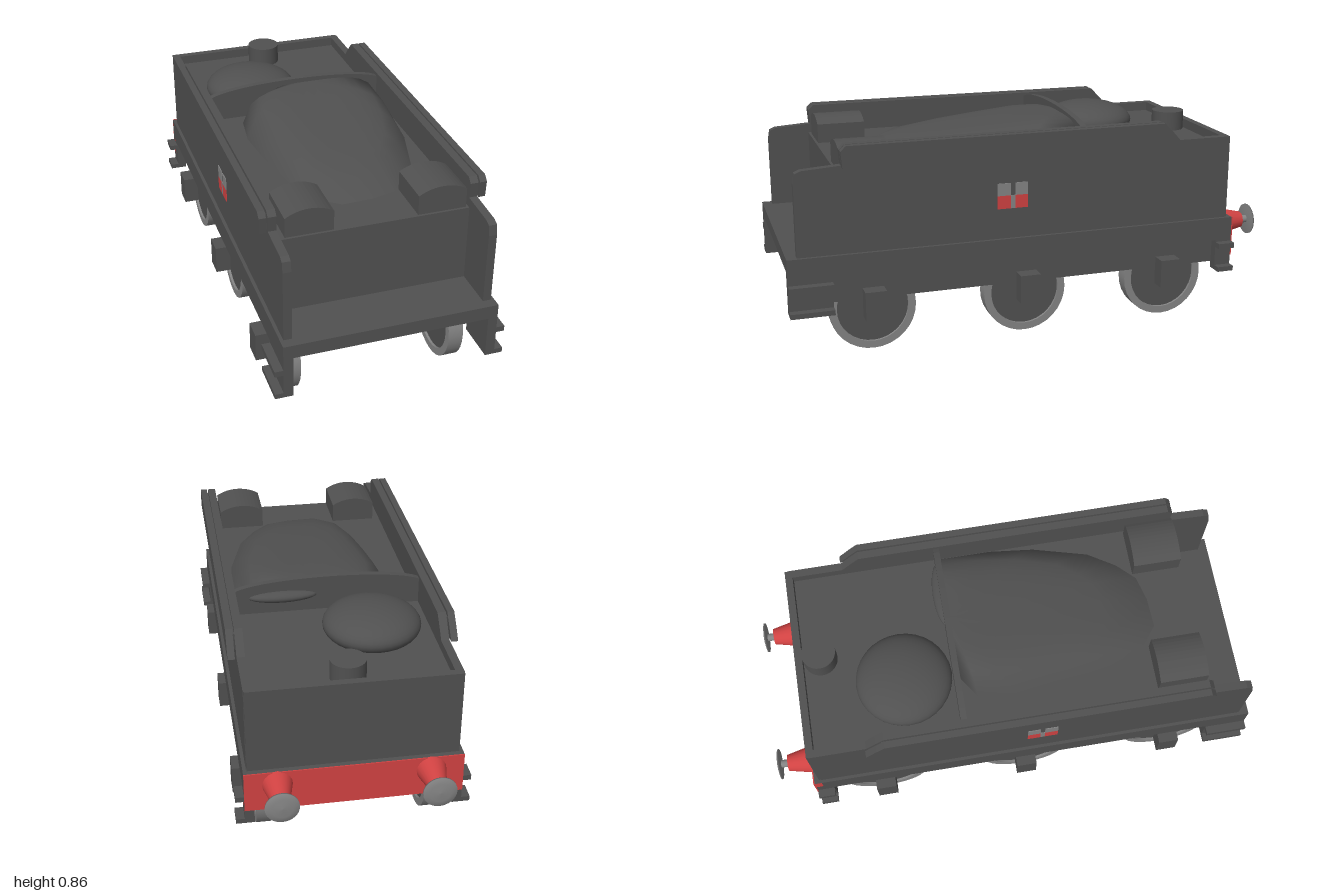
import * as THREE from 'three';

export function createModel() {
  const root = new THREE.Group();
  root.name = 'tender';
  const mat = (name, color) => {
    const m = new THREE.MeshStandardMaterial({ color });
    m.name = name;
    return m;
  };
  const black = mat('sootBlack', 0x505050);
  const red = mat('signalRed', 0xd04242);
  const grey = mat('steelGrey', 0x848484);

  const add = (name, geo, m = black, x = 0, y = 0, z = 0) => {
    const mesh = new THREE.Mesh(geo, m);
    mesh.name = name;
    mesh.position.set(x, y, z);
    root.add(mesh);
    return mesh;
  };
  // box given by its limits
  const box = (name, x0, x1, y0, y1, z0, z1, m = black) =>
    add(name, new THREE.BoxGeometry(x1 - x0, y1 - y0, z1 - z0), m, (x0 + x1) / 2, (y0 + y1) / 2, (z0 + z1) / 2);
  const mirrored = (name, x0, x1, ...rest) => {
    box(name + 'Left', x0, x1, ...rest);
    box(name + 'Right', -x1, -x0, ...rest);
  };
  // outline of [z, y] points given thickness from x0 to x1
  const sidePlate = (name, pts, x0, x1) => {
    const shape = new THREE.Shape(pts.map(([z, y]) => new THREE.Vector2(-z, y)));
    const geo = new THREE.ExtrudeGeometry(shape, { depth: x1 - x0, bevelEnabled: false });
    geo.rotateY(Math.PI / 2);
    add(name, geo, black, x0, 0, 0);
  };

  // underframe
  box('underframe', -0.415, 0.415, 0.32, 0.415, -0.85, 0.83);
  box('floor', -0.325, 0.325, 0.285, 0.33, -0.84, 0.82);
  box('frontPlatform', -0.415, 0.415, 0.36, 0.415, 0.83, 1);
  box('drawbarBox', -0.24, 0.23, 0.265, 0.36, 0.78, 0.83);
  box('bufferBeam', -0.415, 0.415, 0.25, 0.415, -0.855, -0.82, red);
  mirrored('sideFrame', 0.325, 0.38, 0.217, 0.322, -0.8, 0.83);

  // footsteps at both ends
  for (const [end, z0, z1] of [['front', 0.83, 1], ['rear', -0.85, -0.78]]) {
    mirrored(end + 'StepPlate', 0.378, 0.415, 0.19, 0.36, z0, z1);
    mirrored(end + 'UpperStep', 0.4, 0.448, 0.29, 0.312, z0, z1);
    mirrored(end + 'LowerStep', 0.4, 0.448, 0.19, 0.21, z0, z1);
  }

  // wheels with recessed centres, and axle boxes
  const V = (x, y) => new THREE.Vector2(x, y);
  for (const z of [0.67, 0.045, -0.565]) {
    for (const s of [1, -1]) {
      const rim = new THREE.LatheGeometry(
        [V(0.142, -0.03), V(0.172, -0.03), V(0.172, -0.03), V(0.172, 0.03), V(0.172, 0.03), V(0.142, 0.03), V(0.142, 0.03), V(0.142, -0.03)], 32);
      add('wheelRim', rim, grey, s * 0.33, 0.172, z).rotation.z = Math.PI / 2;
      const disc = new THREE.CylinderGeometry(0.143, 0.143, 0.04, 32);
      add('wheelDisc', disc, black, s * 0.33, 0.172, z).rotation.z = Math.PI / 2;
    }
    mirrored('axleBox', 0.378, 0.44, 0.145, 0.262, z - 0.042, z + 0.042);
  }

  // tank body: recessed front wall, deck, longer side walls and a rear rim
  box('tank', -0.37, 0.37, 0.41, 0.722, -0.8, 0.79);
  box('rearWall', -0.4, 0.4, 0.41, 0.76, -0.83, -0.8);
  const wall = [[-0.82, 0.41], [0.96, 0.41], [0.96, 0.7], [0.953, 0.74], [0.93, 0.75], [0.78, 0.76], [-0.82, 0.76]];
  sidePlate('sideWallLeft', wall, 0.37, 0.402);
  sidePlate('sideWallRight', wall, -0.402, -0.37);

  // raised side boards, each a pair of parallel strips
  const board = [[0.78, 0.755], [0.785, 0.82], [0.765, 0.84], [-0.52, 0.84], [-0.555, 0.805], [-0.6, 0.755]];
  for (const [name, a, b] of [['innerBoard', 0.37, 0.402], ['outerBoard', 0.408, 0.435]]) {
    sidePlate(name + 'Left', board, a, b);
    sidePlate(name + 'Right', board, -b, -a);
  }
  mirrored('boardBracket', 0.398, 0.412, 0.76, 0.822, -0.53, 0.765);

  // arched bulkhead across the deck
  const arch = new THREE.Shape();
  arch.moveTo(-0.37, 0.72);
  arch.lineTo(0.37, 0.72);
  arch.lineTo(0.37, 0.825);
  arch.bezierCurveTo(0.25, 0.878, -0.25, 0.878, -0.37, 0.825);
  arch.closePath();
  add('bulkhead', new THREE.ExtrudeGeometry(arch, { depth: 0.025, bevelEnabled: false, curveSegments: 20 }), black, 0, 0, -0.215);

  // round-topped lockers at the front of the deck
  for (const [x0, x1] of [[-0.34, -0.155], [0.17, 0.36]]) {
    const s = new THREE.Shape();
    s.moveTo(x0, 0.72);
    s.lineTo(x1, 0.72);
    s.lineTo(x1, 0.8);
    s.bezierCurveTo(x1 - 0.055, 0.836, x0 + 0.055, 0.836, x0, 0.8);
    s.closePath();
    add('locker', new THREE.ExtrudeGeometry(s, { depth: 0.195, bevelEnabled: false }), black, 0, 0, 0.585);
  }

  // coal heap: rings shrinking from a rounded outline toward its ridge
  const outline = [[-0.16, -0.19], [-0.25, -0.13], [-0.27, 0.02], [-0.25, 0.2], [-0.21, 0.42], [-0.16, 0.56],
    [-0.07, 0.63], [0.05, 0.625], [0.15, 0.6], [0.22, 0.53], [0.29, 0.42], [0.35, 0.2], [0.37, 0.02], [0.37, -0.19]];
  const rings = 8, n = outline.length, pos = [], idx = [];
  for (let r = 0; r <= rings; r++) {
    const t = 1 - r / rings;
    for (const [ox, oz] of outline) {
      const x = 0.06 + (ox - 0.06) * t;
      const z = -0.19 + (oz + 0.19) * (oz < -0.15 ? 1 : t);
      const crest = 0.125 - 0.06 * Math.max(0, (z + 0.1) / 0.73);
      pos.push(x, 0.72 + crest * Math.sqrt(Math.max(0, 1 - t ** 4)), z);
    }
  }
  for (let r = 0; r < rings; r++) {
    for (let i = 0; i < n; i++) {
      const a = r * n + i, b = r * n + (i + 1) % n;
      idx.push(a, b, a + n, b, b + n, a + n);
    }
  }
  const heap = new THREE.BufferGeometry();
  heap.setAttribute('position', new THREE.Float32BufferAttribute(pos, 3));
  heap.setIndex(idx);
  heap.computeVertexNormals();
  add('coalHeap', heap);
  const spill = new THREE.SphereGeometry(1, 24, 12);
  spill.scale(0.14, 0.025, 0.04);
  add('coalSpill', spill, black, 0.18, 0.79, -0.205);

  // water dome and filler cap
  const dome = new THREE.SphereGeometry(0.192, 32, 20);
  dome.scale(1, 0.42, 1);
  add('waterDome', dome, black, -0.14, 0.755, -0.41);
  add('fillerCap', new THREE.CylinderGeometry(0.068, 0.068, 0.085, 28), black, 0.01, 0.76, -0.73);

  // rear buffers
  for (const x of [-0.29, 0.29]) {
    const cone = new THREE.CylinderGeometry(0.034, 0.058, 0.105, 20);
    add('bufferHousing', cone, red, x, 0.36, -0.903).rotation.x = -Math.PI / 2;
    const rod = new THREE.CylinderGeometry(0.016, 0.016, 0.05, 16);
    add('bufferRod', rod, grey, x, 0.36, -0.967).rotation.x = -Math.PI / 2;
    const head = new THREE.LatheGeometry([V(0, -0.006), V(0.064, -0.004), V(0.064, 0.002), V(0.04, 0.007), V(0, 0.01)], 24);
    add('bufferHead', head, grey, x, 0.36, -0.99).rotation.x = -Math.PI / 2;
  }

  // painted colour patches on both sides
  for (const [z0, z1] of [[0.118, 0.172], [0.048, 0.1]]) {
    mirrored('greyPatch', 0.4, 0.405, 0.59, 0.64, z0, z1, grey);
    mirrored('redPatch', 0.4, 0.405, 0.537, 0.59, z0, z1, red);
  }
  mirrored('greyPatchLink', 0.4, 0.405, 0.537, 0.59, 0.1, 0.118, grey);

  return root;
}
